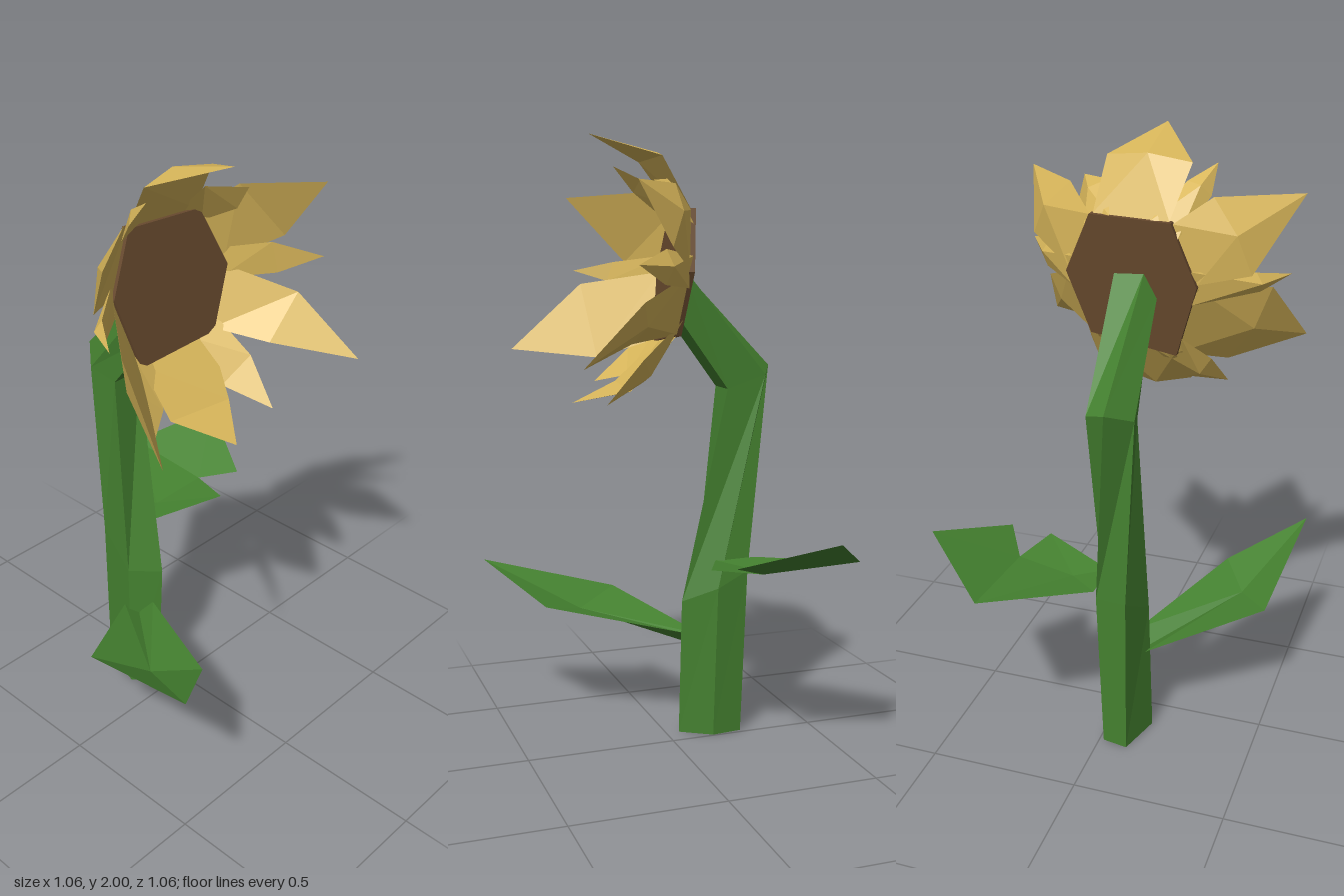
import * as THREE from 'three';

// Flat-shaded mesh from a few corners and triangles
function facets(name, corners, tris, material) {
  const geo = new THREE.BufferGeometry();
  geo.setAttribute('position', new THREE.Float32BufferAttribute(tris.flat().flatMap(i => corners[i]), 3));
  geo.computeVertexNormals();
  const mesh = new THREE.Mesh(geo, material);
  mesh.name = name;
  return mesh;
}

export function createModel() {
  const green = new THREE.MeshStandardMaterial({ color: 0x458230, side: THREE.DoubleSide });
  green.name = 'leaf green';
  const yellow = new THREE.MeshStandardMaterial({ color: 0xd8b65a, side: THREE.DoubleSide });
  yellow.name = 'petal yellow';
  const brown = new THREE.MeshStandardMaterial({ color: 0x684a2e });
  brown.name = 'seed brown';

  const group = new THREE.Group();
  group.name = 'flower';

  // Stem: five-sided rings from the ground, through the bend, to the head
  const rings = [
    [[-0.145, 0, -0.11], [-0.07, 0, -0.045], [-0.005, 0, -0.147], [-0.015, 0, -0.25], [-0.1, 0, -0.265]],
    [[-0.133, 0.48, -0.125], [-0.045, 0.47, -0.047], [0.015, 0.52, -0.155], [0.003, 0.57, -0.265], [-0.1, 0.57, -0.275]],
    [[-0.11, 1.19, -0.19], [0, 1.19, -0.19], [0.01, 1.235, -0.32], [-0.06, 1.26, -0.36], [-0.13, 1.22, -0.28]],
    [[-0.09, 1.42, -0.015], [0.02, 1.43, -0.01], [0.02, 1.59, -0.025], [-0.08, 1.605, -0.035], [-0.12, 1.53, -0.03]],
  ];
  const stemTris = [];
  for (let r = 0; r < 3; r++) {
    for (let i = 0; i < 5; i++) {
      const a = r * 5 + i, b = r * 5 + (i + 1) % 5;
      stemTris.push([a, b, b + 5], [a, b + 5, a + 5]);
    }
  }
  for (let i = 1; i < 4; i++) stemTris.push([0, i + 1, i], [15, 15 + i, 16 + i]);
  group.add(facets('stem', rings.flat(), stemTris, green));

  // Notched leaf on the left, with a thin underside at the stem
  group.add(facets('leftLeaf', [
    [0, 0.615, -0.295], [0.305, 0.65, -0.53], [0.53, 0.77, -0.35], [0.37, 0.68, -0.075],
    [0.295, 0.635, -0.195], [0.245, 0.65, -0.04], [0, 0.615, -0.15], [0.1, 0.61, -0.215], [0.03, 0.588, -0.215],
  ], [
    [0, 7, 1], [1, 7, 4], [1, 4, 2], [2, 4, 3], [7, 5, 4], [7, 6, 5], [0, 6, 7],
    [0, 1, 8], [8, 1, 4], [8, 4, 5], [8, 5, 6],
  ], green));

  // Pointed, folded leaf on the right
  group.add(facets('rightLeaf', [
    [-0.13, 0.32, -0.15], [-0.485, 0.425, 0.065], [-0.53, 0.55, 0.53], [-0.28, 0.425, 0.365],
    [-0.08, 0.35, -0.06], [-0.11, 0.3, -0.1], [-0.37, 0.385, 0.22],
  ], [[0, 6, 1], [0, 5, 6], [5, 4, 6], [4, 3, 6], [1, 6, 2], [6, 3, 2]], green));

  // Seed disc: a six-sided slab sheared to the tilt of the head
  const tilt = (x, y) => -0.03 + 0.12 * (x + 0.04) - 0.13 * (y - 1.56);
  const outline = [[-0.18, 1.34], [0.11, 1.375], [0.185, 1.575], [0.095, 1.77], [-0.17, 1.77], [-0.25, 1.575]];
  const discGeo = new THREE.ExtrudeGeometry(
    new THREE.Shape(outline.map(p => new THREE.Vector2(...p))), { depth: 0.028, bevelEnabled: false });
  const pos = discGeo.attributes.position;
  for (let i = 0; i < pos.count; i++) pos.setZ(i, pos.getZ(i) + tilt(pos.getX(i), pos.getY(i)));
  discGeo.computeVertexNormals();
  const disc = new THREE.Mesh(discGeo, brown);
  disc.name = 'seedDisc';
  group.add(disc);

  // Point on the rim, part of the way from one disc corner to another
  const rim = (from, to, t, lift) => {
    const [a, b] = [outline[(from + 6) % 6], outline[(to + 6) % 6]];
    const x = a[0] + (b[0] - a[0]) * t, y = a[1] + (b[1] - a[1]) * t;
    return [x, y, tilt(x, y) + lift];
  };

  // Solid petal: a creased inner face and a ridged back, from base corners, side corners and tip
  const addPetal = (name, b1, b2, [c1, tip, c2], thickness) => {
    const mid = c1.map((v, k) => (v + c2[k]) / 2);
    const out = new THREE.Vector3(mid[0] + 0.04, mid[1] - 1.56, 0).setLength(0.7);
    const ridge = [mid[0] + out.x * thickness, mid[1] + out.y * thickness, mid[2] - 0.8 * thickness];
    group.add(facets(name, [b1, b2, c1, c2, ridge, tip], [
      [0, 2, 1], [1, 2, 3], [2, 5, 3],
      [0, 4, 2], [0, 1, 4], [1, 3, 4], [2, 4, 5], [4, 3, 5],
    ], yellow));
  };

  // Large petals, one per disc edge, clockwise from the top
  [
    [[-0.2, 1.925, 0.05], [-0.06, 2, 0.26], [0.07, 1.93, 0.06]],
    [[0.19, 1.84, 0.06], [0.385, 1.84, 0.24], [0.34, 1.65, 0.12]],
    [[0.32, 1.49, 0.2], [0.38, 1.305, 0.405], [0.19, 1.36, 0.2]],
    [[0.05, 1.2, 0.16], [-0.085, 1.155, 0.315], [-0.19, 1.21, 0.14]],
    [[-0.3, 1.28, 0.17], [-0.505, 1.3, 0.42], [-0.43, 1.525, 0.19]],
    [[-0.395, 1.6, 0.04], [-0.515, 1.82, 0.215], [-0.27, 1.83, 0.04]],
  ].forEach((p, k) => addPetal('largePetal', rim(4 - k, 3 - k, 0.03, 0.016), rim(3 - k, 4 - k, 0.03, 0.016), p, 0.03));

  // Small petals, one per disc corner, clockwise from the upper right
  [
    [[0.06, 1.86, 0.04], [0.165, 1.85, 0.12], [0.17, 1.77, 0.07]],
    [[0.28, 1.645, 0.12], [0.388, 1.6, 0.24], [0.3, 1.54, 0.13]],
    [[0.16, 1.31, 0.15], [0.14, 1.17, 0.265], [0.06, 1.23, 0.12]],
    [[-0.18, 1.23, 0.1], [-0.3, 1.2, 0.18], [-0.27, 1.31, 0.07]],
    [[-0.41, 1.535, 0.1], [-0.485, 1.57, 0.2], [-0.4, 1.6, 0.08]],
    [[-0.26, 1.83, 0.05], [-0.26, 1.915, 0.12], [-0.185, 1.87, 0.05]],
  ].forEach((p, k) => addPetal('smallPetal', rim(3 - k, 4 - k, 0.25, 0.006), rim(3 - k, 2 - k, 0.25, 0.006), p, 0.025));

  return group;
}
